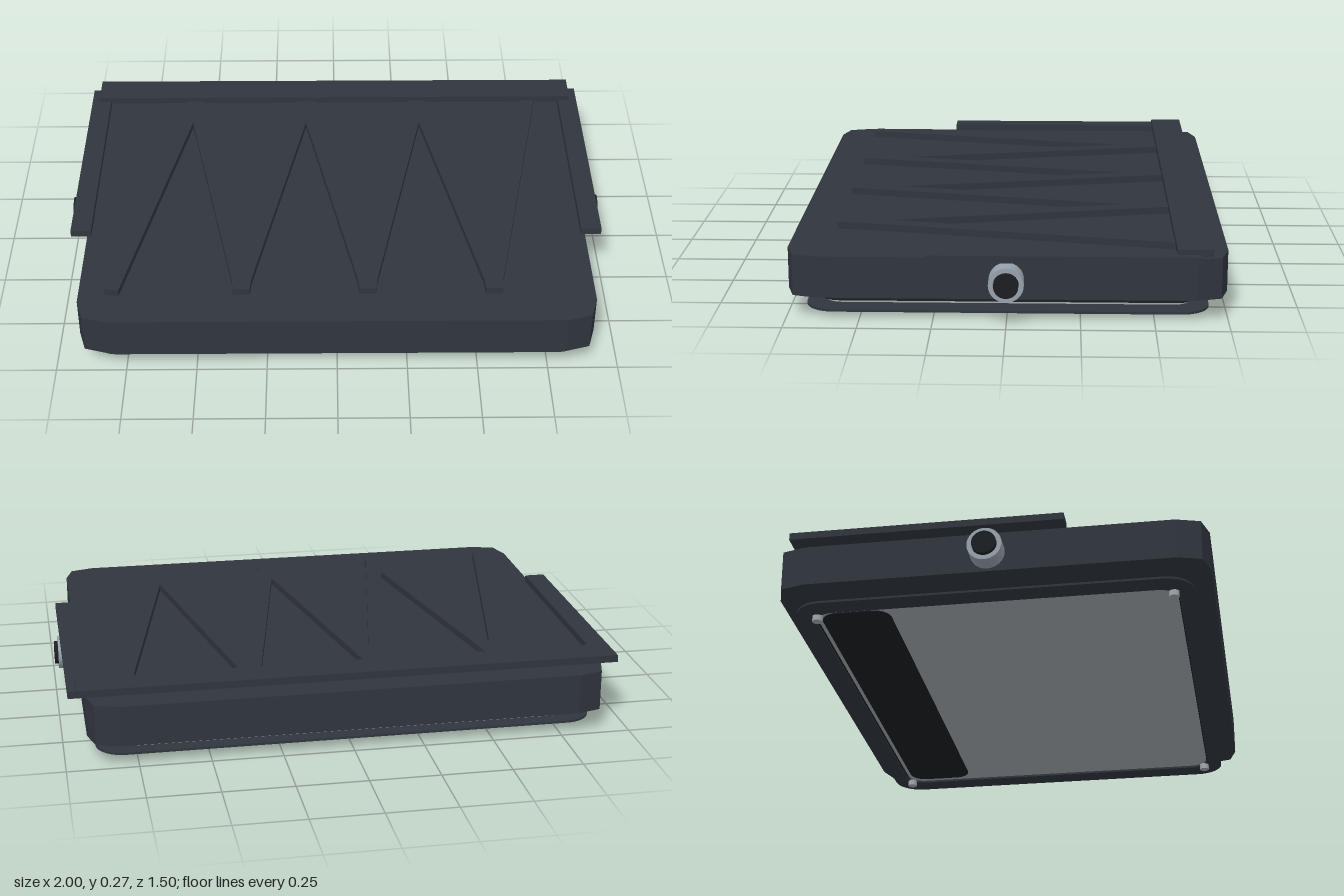
import * as THREE from 'three';

const dark = new THREE.MeshStandardMaterial({ color: 0x30353d, flatShading: true });
const black = new THREE.MeshStandardMaterial({ color: 0x1b1e22 });
const silver = new THREE.MeshStandardMaterial({ color: 0x98a2ad });
const grey = new THREE.MeshStandardMaterial({ color: 0xa4a9ae });

// Rounded rectangle outline in plan, spanning x0..x1 and z0..z1
function roundRect(x0, x1, z0, z1, r, Type = THREE.Shape) {
  const s = new Type();
  const c = [[x1 - r, -z0 - r, 0], [x0 + r, -z0 - r, 1], [x0 + r, -z1 + r, 2], [x1 - r, -z1 + r, 3]];
  for (const [x, y, q] of c) s.absarc(x, y, r, q * Math.PI / 2, (q + 1) * Math.PI / 2, false);
  s.closePath();
  return s;
}

// Outline from plan points [x, z]
const outline = (pts) => new THREE.Shape(pts.map(([x, z]) => new THREE.Vector2(x, -z)));

export function createModel() {
  const group = new THREE.Group();

  const add = (name, geometry, material, x = 0, y = 0, z = 0) => {
    const mesh = new THREE.Mesh(geometry, material);
    mesh.name = name;
    mesh.position.set(x, y, z);
    group.add(mesh);
    return mesh;
  };
  // Flat part: plan outline raised from y0 to y1
  const slab = (name, shape, y0, y1, material) => {
    const g = new THREE.ExtrudeGeometry(shape, { depth: y1 - y0, bevelEnabled: false, curveSegments: 6 });
    g.rotateX(-Math.PI / 2);
    return add(name, g, material, 0, y0, 0);
  };

  // Main case with double-chamfered corners
  const corner = [[0.92, 0.64], [0.895, 0.725], [0.81, 0.75]];
  const back = corner.map(([x, z]) => [x, -z]);
  const mirror = (pts) => pts.map(([x, z]) => [-x, z]).reverse();
  slab('case', outline([...corner, ...mirror(corner), ...mirror(back.slice().reverse()),
    ...back.slice().reverse()]), 0.08, 0.225, dark);

  // Zigzag rib on the lid: near edge one way, far edge back
  const near = [[-0.825, 0.60], [-0.59, -0.61]];
  const far = [[-0.775, 0.61], [-0.565, -0.42]];
  for (let i = 0; i < 3; i++) {
    const v = -0.34 + i * 0.45;
    near.push([v - 0.2, -0.61], [v, 0.42], [v + 0.2, -0.61]);
    far.push([v - 0.035, 0.55], [v - 0.03, 0.605], [v + 0.03, 0.605], [v + 0.035, 0.55]);
    far.push(i < 2 ? [v + 0.225, -0.42] : [v + 0.255, -0.61]);
  }
  slab('zigzagRib', outline([...near, ...far.reverse()]), 0.225, 0.25, dark);

  // Back bar and side rails on the lid
  add('backBar', new THREE.BoxGeometry(1.9, 0.026, 0.12), dark, 0, 0.255, -0.63);
  for (const s of [1, -1]) {
    add('sideRail', new THREE.BoxGeometry(0.075, 0.025, 0.92), dark, s * 0.9425, 0.238, -0.19);

    // Side knob: silver collar around a dark core
    const ring = new THREE.LatheGeometry([[0.044, 0], [0.06, 0], [0.06, 0.075], [0.044, 0.075], [0.044, 0]]
      .map(([r, y]) => new THREE.Vector2(r, y)).flatMap((p, i, a) =>
        i > 0 && i < a.length - 1 ? [p, p.clone()] : [p]), 32);
    const collar = add('knobCollar', ring, silver, s * 0.912, 0.15, 0);
    collar.rotation.z = -s * Math.PI / 2;
    collar.material = silver;
    const core = add('knobCore', new THREE.CylinderGeometry(0.042, 0.042, 0.09, 32), black, s * 0.955, 0.15, 0);
    core.rotation.z = Math.PI / 2;
  }

  // Inner panel under the case with small studs
  slab('innerPanel', roundRect(-0.79, 0.79, -0.61, 0.61, 0.05), 0.068, 0.08, grey);
  for (const x of [-0.39, -0.13, 0.13, 0.39])
    for (const z of [-0.245, 0, 0.245])
      add('stud', new THREE.CylinderGeometry(0.02, 0.02, 0.008, 12), grey, x, 0.064, z);

  // Bottom cover: thin backing, open frame, light window and dark strip
  slab('backingPanel', roundRect(-0.82, 0.82, -0.64, 0.64, 0.06), 0.037, 0.042, black);
  slab('coverWindow', roundRect(-0.815, 0.815, -0.63, 0.63, 0.06), 0.03, 0.036, grey);
  slab('coverStrip', roundRect(-0.79, 0.79, -0.615, -0.37, 0.06), 0.027, 0.031, black);
  const frame = roundRect(-0.89, 0.89, -0.69, 0.69, 0.1);
  frame.holes.push(roundRect(-0.81, 0.81, -0.635, 0.635, 0.07, THREE.Path));
  slab('coverFrame', frame, 0.02, 0.028, dark);

  // Corner feet
  for (const x of [-0.79, 0.79])
    for (const z of [-0.62, 0.62])
      add('foot', new THREE.CylinderGeometry(0.018, 0.018, 0.022, 16), grey, x, 0.011, z);

  return group;
}
